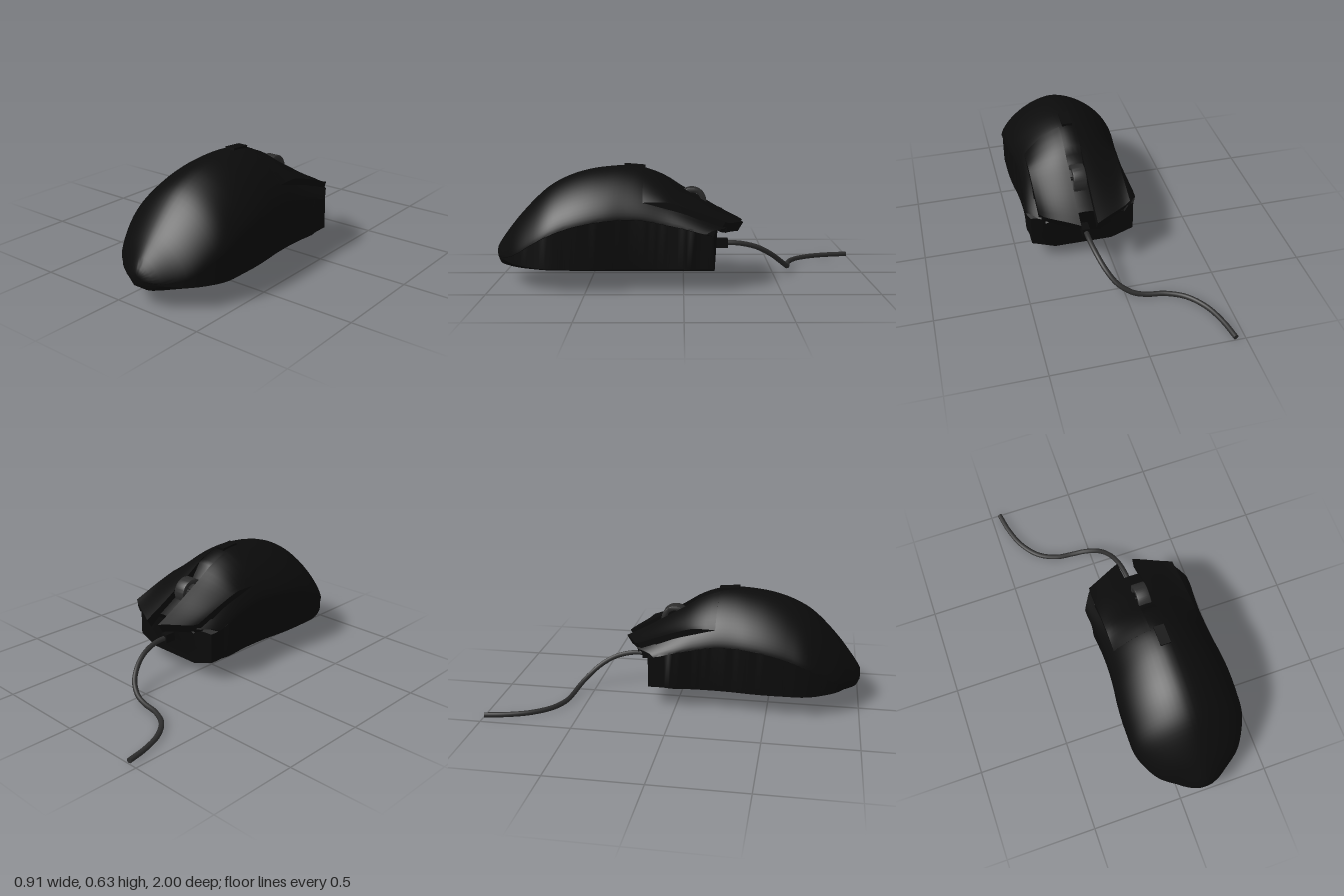
import * as THREE from 'three';
import { toCreasedNormals } from 'three/addons/utils/BufferGeometryUtils.js';

const CX = 0.135; // the body sits off centre, the cable swings to the other side

// Body stations: z, half width, crown height, side crease height, underside height
const KEYS = [
  [-0.32, 0.305, 0.315, 0.26, 0.075], [-0.2, 0.305, 0.38, 0.28, 0.075], [-0.1, 0.305, 0.44, 0.3, 0.075],
  [0, 0.297, 0.5, 0.325, 0.075], [0.1, 0.288, 0.565, 0.345, 0.075], [0.2, 0.287, 0.607, 0.365, 0.075],
  [0.3, 0.293, 0.62, 0.37, 0.076], [0.4, 0.305, 0.615, 0.365, 0.077], [0.5, 0.312, 0.6, 0.35, 0.078],
  [0.6, 0.313, 0.57, 0.325, 0.079], [0.7, 0.31, 0.52, 0.285, 0.08], [0.78, 0.285, 0.455, 0.24, 0.083],
  [0.88, 0.225, 0.35, 0.175, 0.088], [0.95, 0.13, 0.262, 0.145, 0.093], [0.98, 0.085, 0.22, 0.145, 0.1],
  [1.0, 0.035, 0.185, 0.15, 0.13],
];

// Smooth interpolation of one column of a key table
function sample(keys, col, z) {
  const n = keys.length - 1;
  if (z <= keys[0][0]) return keys[0][col];
  if (z >= keys[n][0]) return keys[n][col];
  let i = 0;
  while (z > keys[i + 1][0]) i++;
  const slope = (k) => {
    const a = keys[Math.max(k - 1, 0)], b = keys[Math.min(k + 1, n)];
    return (b[col] - a[col]) / (b[0] - a[0]);
  };
  const d = keys[i + 1][0] - keys[i][0], t = (z - keys[i][0]) / d, t2 = t * t, t3 = t2 * t;
  return (2 * t3 - 3 * t2 + 1) * keys[i][col] + (t3 - 2 * t2 + t) * d * slope(i)
    + (3 * t2 - 2 * t3) * keys[i + 1][col] + (t3 - t2) * d * slope(i + 1);
}
const halfWidth = (z) => sample(KEYS, 1, z);

// Height of the upper shell at distance h from the middle
function topY(h, z) {
  const u = Math.min(Math.abs(h) / halfWidth(z), 1);
  const c = sample(KEYS, 3, z);
  return c + (sample(KEYS, 2, z) - c) * Math.pow(1 - Math.pow(u, 1.7), 0.7);
}

// Front edge in plan: pointed button tips sweeping back to the sides
const lin = THREE.MathUtils.mapLinear;
function frontEdge(h) {
  const a = Math.abs(h);
  return a < 0.245 ? lin(a, 0.045, 0.245, -0.32, -0.22) : lin(a, 0.245, 0.305, -0.22, -0.12);
}

// Joins closed rings of points and caps both ends
function loft(rings, crease) {
  const pos = [], n = rings[0].length;
  const tri = (...p) => p.forEach((v) => pos.push(v.x, v.y, v.z));
  const mid = (r) => r.reduce((s, v) => s.add(v), new THREE.Vector3()).divideScalar(n);
  const first = rings[0], last = rings[rings.length - 1], m0 = mid(first), m1 = mid(last);
  for (let j = 0; j < n; j++) {
    const k = (j + 1) % n;
    for (let i = 0; i < rings.length - 1; i++) {
      const a = rings[i][j], b = rings[i][k], c = rings[i + 1][j], d = rings[i + 1][k];
      tri(a, b, c);
      tri(b, d, c);
    }
    tri(m0, first[k], first[j]);
    tri(m1, last[j], last[k]);
  }
  const g = new THREE.BufferGeometry();
  g.setAttribute('position', new THREE.Float32BufferAttribute(pos, 3));
  return toCreasedNormals(g, crease);
}

// One cross-section of the body at station z0; the front end leans forward
function bodyRing(z0) {
  const W = halfWidth(z0), yC = sample(KEYS, 3, z0), yB = sample(KEYS, 4, z0);
  const inset = lin(THREE.MathUtils.clamp(z0, -0.08, -0.03), -0.08, -0.03, 0.02, 0.006);
  const place = (x, y, onTop) => {
    let z = z0;
    if (z0 < 0) {
      const lean = onTop ? -0.22 : lin(Math.min(y, 0.3), 0.08, 0.3, -0.165, -0.22);
      z = (z0 / -0.17) * Math.max(lean, frontEdge(x));
    }
    if (onTop) {
      y = topY(x, z);
      // recess beneath the main buttons
      if (Math.abs(x) < 0.235) y -= 0.04 * THREE.MathUtils.clamp((0.08 - z) / 0.04, 0, 1);
    }
    return new THREE.Vector3(x, y, z);
  };
  const lower = Math.min(yB + 0.038, yC - 0.004);
  const side = Math.max(W - inset, W * 0.8);
  const right = [[W * 0.52, yB], [side, lower], [side, yC - 0.003]];
  const ring = right.map(([x, y]) => place(x, y, false));
  const N = 32;
  for (let i = 0; i <= N; i++) ring.push(place(W * Math.cos((i / N) * Math.PI), 0, true));
  right.reverse().forEach(([x, y]) => ring.push(place(-x, y, false)));
  return ring;
}

// Raised plate following the shell, from the split in the middle to its outer ridge
function buttonRing(h) {
  const top = [], under = [], back = 0.21, N = 16;
  for (let i = 0; i <= N; i++) {
    const z = lin(i, 0, N, frontEdge(h), back);
    const fade = THREE.MathUtils.clamp((back - z) / 0.12, 0, 1);
    const ridge = 0.03 * Math.pow(Math.abs(h) / 0.248, 6);
    const y = topY(h, z) + 0.001 + fade * (0.004 + ridge);
    top.push(new THREE.Vector3(h, y, z));
    under.unshift(new THREE.Vector3(h, y - 0.05, z + (i === 0 ? 0.03 : 0)));
  }
  return [...top, ...under];
}

export function createModel() {
  const model = new THREE.Group();
  model.name = 'computerMouse';
  const black = new THREE.MeshStandardMaterial({ color: 0x0b0b0b });
  black.name = 'matte black';
  const grey = new THREE.MeshStandardMaterial({ color: 0x2c2c2c });
  grey.name = 'dark grey rubber';
  const add = (name, geometry, material, x = 0, y = 0, z = 0) => {
    const mesh = new THREE.Mesh(geometry, material);
    mesh.name = name;
    mesh.position.set(x, y, z);
    model.add(mesh);
    return mesh;
  };

  // Body
  const stations = [];
  for (let i = 0; i <= 44; i++) stations.push(lin(i, 0, 44, -0.17, 0.94));
  stations.push(0.96, 0.98, 0.99, 1.0);
  add('body', loft(stations.map(bodyRing), 0.6), black, CX);

  // Main buttons
  for (const s of [-1, 1]) {
    const rings = [];
    for (let i = 0; i <= 10; i++) rings.push(buttonRing(s * lin(i, 0, 10, 0.045, 0.248)));
    if (s < 0) rings.reverse();
    add(s < 0 ? 'rightButton' : 'leftButton', loft(rings, 0.6), black, CX);
  }

  // Scroll wheel with an open hub
  const tyre = new THREE.Shape().absarc(0, 0, 0.078, 0, Math.PI * 2);
  tyre.holes.push(new THREE.Path().absarc(0, 0, 0.05, 0, Math.PI * 2, true));
  const wheel = new THREE.ExtrudeGeometry(tyre, {
    depth: 0.056, bevelThickness: 0.008, bevelSize: 0.006, bevelOffset: -0.006, bevelSegments: 2, curveSegments: 24,
  });
  wheel.translate(0, 0, -0.028).rotateY(Math.PI / 2);
  add('scrollWheel', toCreasedNormals(wheel, 0.7), grey, CX, 0.425, -0.045);
  const axle = new THREE.CylinderGeometry(0.012, 0.012, 0.12, 12).rotateZ(Math.PI / 2);
  add('wheelAxle', axle, black, CX, 0.425, -0.045);

  // Small mode button behind the wheel
  add('modeButton', new THREE.BoxGeometry(0.056, 0.03, 0.11), black, CX, 0.61, 0.26).rotation.x = -0.08;

  // Cable and its strain relief
  add('strainRelief', new THREE.BoxGeometry(0.04, 0.05, 0.09), black, CX, 0.197, -0.195);
  const path = [
    [0.135, 0.197, -0.2], [0.132, 0.195, -0.3], [0.115, 0.17, -0.4], [0.085, 0.125, -0.48], [0.04, 0.075, -0.54],
    [-0.03, 0.035, -0.58], [-0.1, 0.018, -0.595], [-0.2, 0.015, -0.61], [-0.3, 0.015, -0.66],
    [-0.38, 0.015, -0.76], [-0.425, 0.015, -0.88], [-0.448, 0.015, -0.995],
  ].map((p) => new THREE.Vector3(...p));
  const curve = new THREE.CatmullRomCurve3(path);
  add('cable', new THREE.TubeGeometry(curve, 80, 0.014, 10), grey);
  const tip = add('cableTip', new THREE.CircleGeometry(0.014, 10), grey, ...path[path.length - 1].toArray());
  tip.lookAt(tip.position.clone().add(curve.getTangent(1)));

  return model;
}
